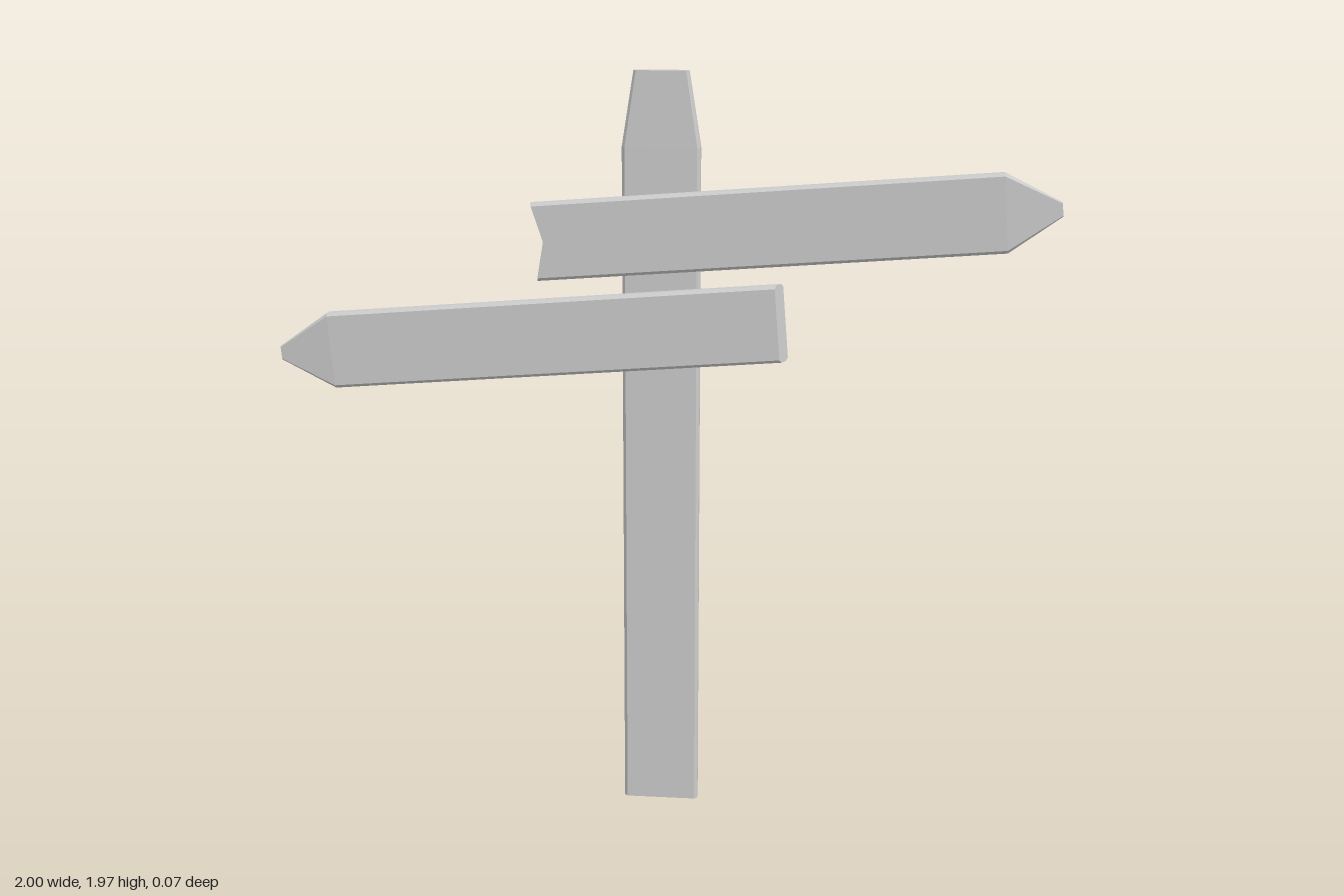
import * as THREE from 'three';

const material = new THREE.MeshStandardMaterial({ color: 0xcccccc, flatShading: true });

// Plank lofted along +x through chamfered cross-sections.
// Station: x, half width w, half thickness t, chamfer c,
// optional notch (pushes the middle along x) and bevel (pushes the front along x).
function plank(name, stations) {
  const rings = stations.map(({ x, w, t, c, notch = 0, bevel = 0 }) => {
    const d = Math.min(c, t * 0.6);
    const section = [
      [w, -t + d], [w, t - d], [w - c, t], [0, t], [-w + c, t],
      [-w, t - d], [-w, -t + d], [-w + c, -t], [0, -t], [w - c, -t],
    ];
    return section.map(([y, z]) => new THREE.Vector3(
      x + notch * (1 - Math.abs(y) / w) + bevel * (z + t) / (2 * t), y, z));
  });
  const points = [];
  const n = rings[0].length;
  const centre = (ring) => ring[3].clone().add(ring[8]).multiplyScalar(0.5);
  const first = rings[0], last = rings[rings.length - 1];
  for (let k = 0; k < n; k++) {
    const j = (k + 1) % n;
    for (let i = 0; i < rings.length - 1; i++) {
      const a = rings[i], b = rings[i + 1];
      points.push(a[k], a[j], b[k], a[j], b[j], b[k]);
    }
    points.push(centre(first), first[j], first[k]);
    points.push(centre(last), last[k], last[j]);
  }
  const geometry = new THREE.BufferGeometry().setFromPoints(points);
  geometry.computeVertexNormals();
  const mesh = new THREE.Mesh(geometry, material);
  mesh.name = name;
  return mesh;
}

// Arrow board: tail at the origin, thin blunt point along +x
function arrowBoard(name, tail) {
  return plank(name, [
    { x: 0, w: 0.1, t: 0.018, c: 0.008, ...tail },
    { x: 1.188, w: 0.1, t: 0.018, c: 0.008 },
    { x: 1.326, w: 0.018, t: 0.004, c: 0.003 },
  ]);
}

export function createModel() {
  const group = new THREE.Group();
  group.name = 'signpost';

  // Upright post with a tapered top
  const post = plank('post', [
    { x: 0, w: 0.1, t: 0.017, c: 0.008 },
    { x: 1.78, w: 0.1, t: 0.017, c: 0.008 },
    { x: 1.97, w: 0.07, t: 0.013, c: 0.007 },
  ]);
  post.rotation.z = Math.PI / 2;
  post.position.z = -0.02;

  // Upper board points to +x and has a notched tail
  const upper = arrowBoard('upperArrowBoard', { notch: 0.025 });
  upper.rotation.z = 0.077;
  upper.position.set(-0.322, 1.54, 0.019);

  // Lower board points to -x and has a bevelled tail
  const lower = arrowBoard('lowerArrowBoard', { bevel: 0.02 });
  lower.rotation.z = Math.PI + 0.081;
  lower.position.set(0.321, 1.342, 0.019);

  group.add(post, upper, lower);
  return group;
}
